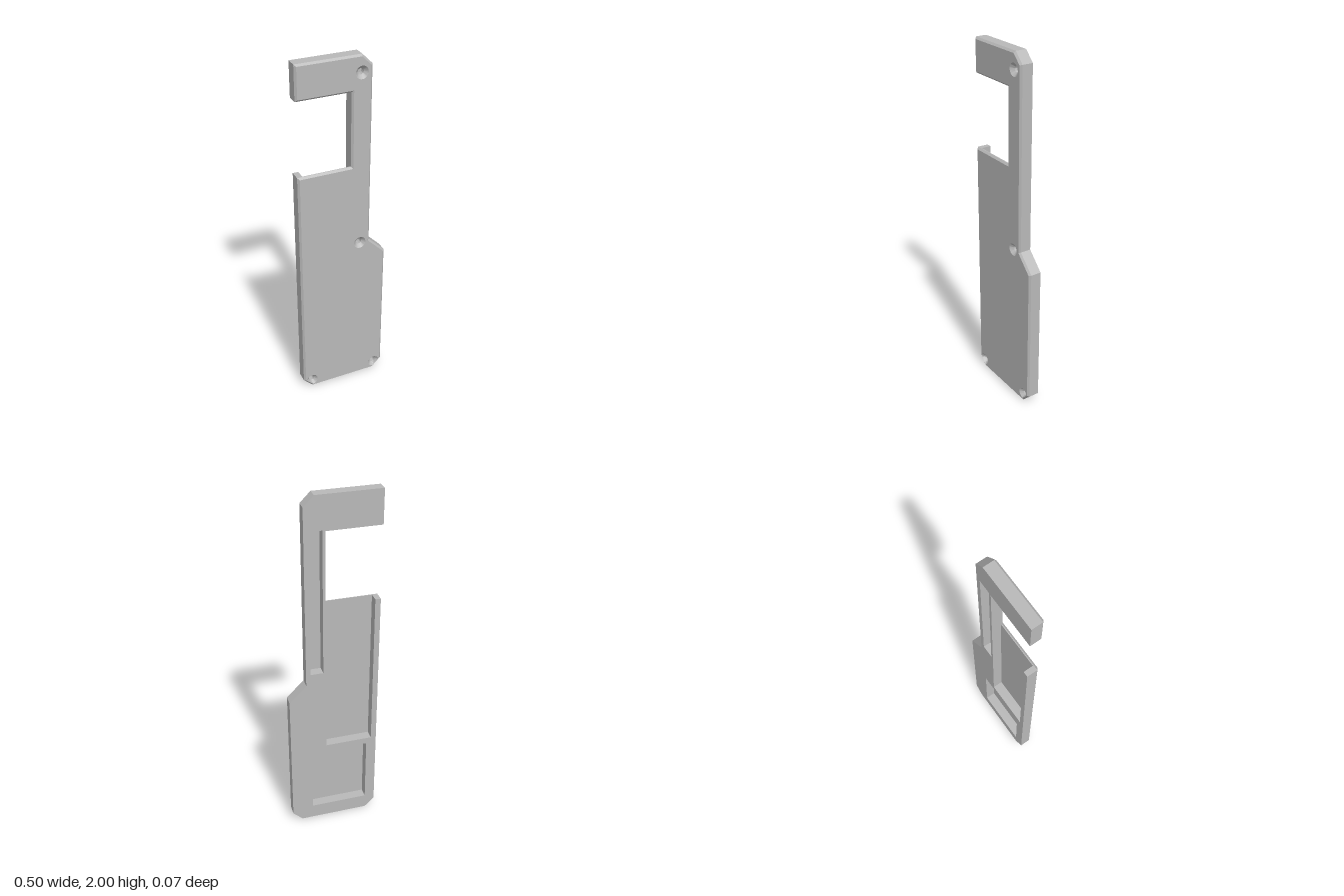
import * as THREE from 'three';
import { mergeGeometries, toCreasedNormals } from 'three/addons/utils/BufferGeometryUtils.js';

const BACK = -0.035, FLOOR = 0.02, BEVEL = 0.025, FRONT = 0.035;
const pts = (list) => list.map(([x, y]) => new THREE.Vector2(x, y));
const rect = (x0, y0, x1, y1) => pts([[x0, y0], [x0, y1], [x1, y1], [x1, y0]]); // clockwise

// Wall between two matching rings; counter-clockwise rings face outward, clockwise inward
function strip(a, za, b, zb) {
  const pos = [];
  a.forEach((p, i) => {
    const j = (i + 1) % a.length, q = a[j], r = b[j], s = b[i];
    pos.push(p.x, p.y, za, q.x, q.y, za, r.x, r.y, zb, p.x, p.y, za, r.x, r.y, zb, s.x, s.y, zb);
  });
  const g = new THREE.BufferGeometry();
  g.setAttribute('position', new THREE.Float32BufferAttribute(pos, 3));
  return g;
}

// Flat face with holes, facing +z or -z
function cap(ring, z, holes = [], faceBack = false) {
  const shape = new THREE.Shape(ring);
  shape.holes = holes.map((h) => new THREE.Path(h));
  const g = new THREE.ShapeGeometry(shape);
  if (faceBack) g.setIndex(Array.from(g.index.array).reverse());
  g.deleteAttribute('uv');
  g.deleteAttribute('normal');
  return g.translate(0, 0, z).toNonIndexed();
}

// Moves every edge of a counter-clockwise ring inward by t
function inset(ring, t) {
  const n = ring.length;
  const normal = (p, q) => new THREE.Vector2(p.y - q.y, q.x - p.x).normalize();
  return ring.map((p, i) => {
    const n1 = normal(ring[(i + n - 1) % n], p), n2 = normal(p, ring[(i + 1) % n]);
    return p.clone().addScaledVector(n1.clone().add(n2), t / (1 + n1.dot(n2)));
  });
}

// Clockwise circle, kept clear of the bevelled bottom corners
function circle([cx, cy], r) {
  return Array.from({ length: 40 }, (_, i) => {
    const a = -i / 40 * Math.PI * 2;
    let x = cx + r * Math.cos(a), y = cy + r * Math.sin(a);
    const over = Math.abs(x) - y - 0.18;
    if (over > 0) { x -= Math.sign(x) * over / 2; y += over / 2; }
    return new THREE.Vector2(x, y);
  });
}

export function createModel() {
  const grey = new THREE.MeshStandardMaterial({ color: 0xb8b8b8 });
  grey.name = 'plain grey';
  const group = new THREE.Group();
  group.name = 'coverPlate';
  const add = (name, geos) => {
    const mesh = new THREE.Mesh(toCreasedNormals(mergeGeometries(geos), 0.5), grey);
    mesh.name = name;
    group.add(mesh);
  };

  // Outlines, counter-clockwise: shared edge, then the front window or the back window with its channel
  const edge = [[-0.195, 0], [0.195, 0], [0.25, 0.055], [0.25, 0.85], [0.155, 0.945],
    [0.155, 1.945], [0.1, 2], [-0.25, 2], [-0.25, 1.815], [0.045, 1.815]];
  const end = [[-0.25, 1.41], [-0.25, 0.055]];
  const outline = pts([...edge, [0.045, 1.41], ...end]);
  const backOutline = pts([...edge, [0.045, 0.52], [-0.22, 0.52], [-0.22, 1.41], ...end]);
  const frontOutline = inset(outline, 0.01);

  // Recesses in the back
  const slot = rect(0.06, 1.01, 0.13, 1.82);
  const square = rect(-0.193, 0.085, 0.13, 0.483);
  const channel = rect(-0.22, 0.52, 0.045, 1.41);

  // Countersunk screw holes in the front
  const centres = [[0.097, 1.91], [0.097, 0.94], [-0.2, 0.05], [0.2, 0.05]];
  const rims = centres.map((c) => circle(c, 0.034));
  const bores = centres.map((c) => circle(c, 0.016));

  add('frontFace', [cap(frontOutline, FRONT, rims)]);
  add('frontBevel', [strip(outline, BEVEL, frontOutline, FRONT)]);
  add('skinEdge', [strip(outline, FLOOR, outline, BEVEL)]);
  add('backFrame', [strip(backOutline, BACK, backOutline, FLOOR), cap(backOutline, BACK, [slot, square], true)]);
  add('channelFloor', [cap(channel, FLOOR, [], true)]);
  add('narrowSlot', [strip(slot, BACK, slot, FLOOR), cap(slot, FLOOR, [], true)]);
  add('squarePocket', [strip(square, BACK, square, FLOOR), cap(square, FLOOR, [], true)]);
  rims.forEach((rim, i) => add('screwHole' + (i + 1), [
    strip(bores[i], 0.017, rim, FRONT),
    strip(bores[i], -0.01, bores[i], 0.017),
    cap(bores[i], -0.01),
  ]));
  return group;
}
